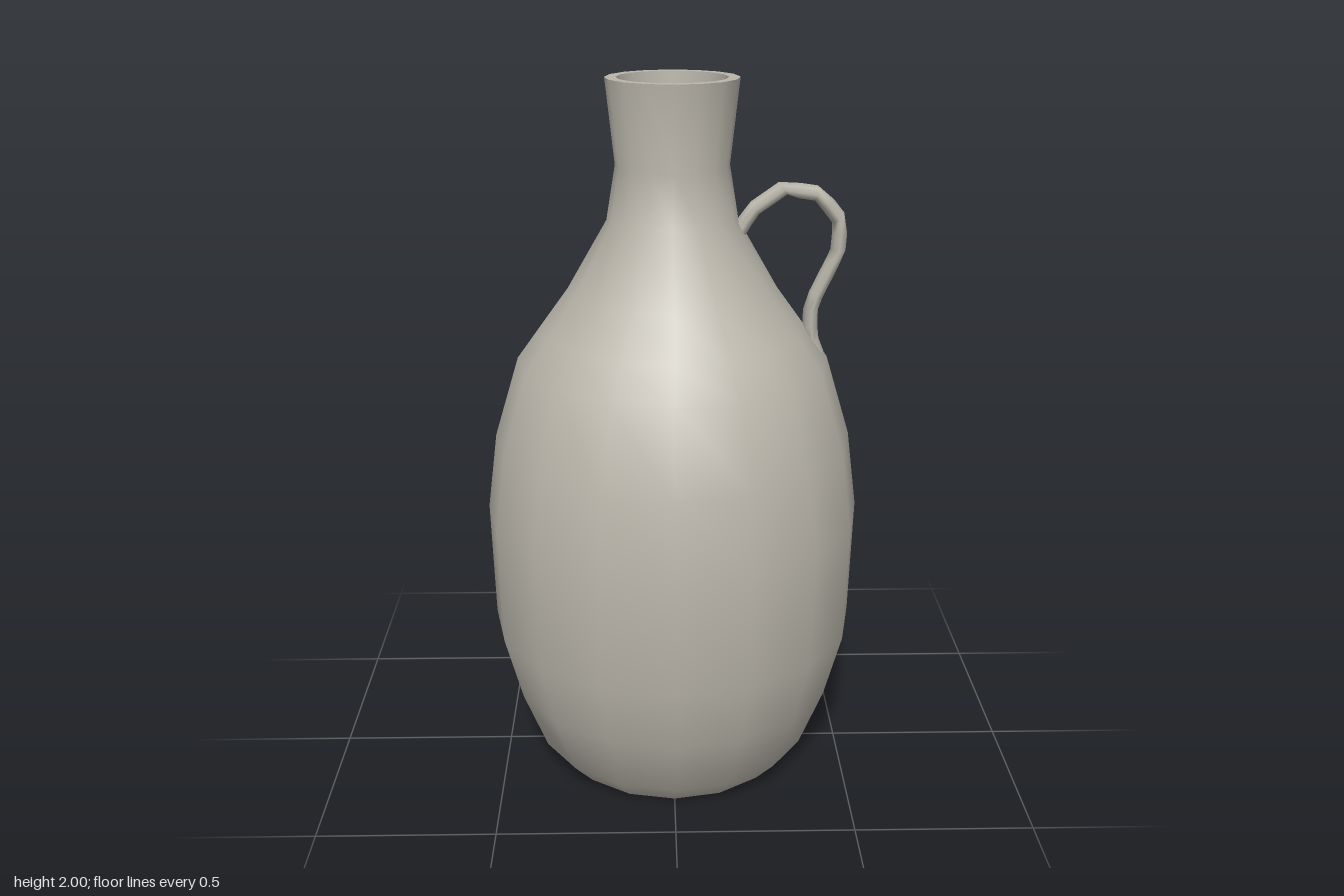
import * as THREE from 'three';
import { toCreasedNormals } from 'three/addons/utils/BufferGeometryUtils.js';

const clay = new THREE.MeshStandardMaterial({ color: 0xb9b5aa });
clay.name = 'greyClay';

function lathe(name, points, sides) {
  const profile = points.map(([r, y]) => new THREE.Vector2(r, y));
  const mesh = new THREE.Mesh(toCreasedNormals(new THREE.LatheGeometry(profile, sides), 0.75), clay);
  mesh.name = name;
  return mesh;
}

export function createModel() {
  const model = new THREE.Group();
  model.name = 'jug';

  // Body: recessed foot, outer wall, lip, then the inner wall down to the floor
  model.add(lathe('body', [
    [0, 0.035], [0.27, 0.035], [0.295, 0.0], [0.34, 0.0],
    [0.405, 0.07], [0.475, 0.25], [0.525, 0.44], [0.534, 0.78],
    [0.505, 1.0], [0.435, 1.23], [0.37, 1.32], [0.29, 1.43],
    [0.18, 1.62], [0.155, 1.77], [0.18, 2.0],
    [0.15, 2.0], [0.135, 1.77], [0.15, 1.62], [0.26, 1.42],
    [0.4, 1.22], [0.5, 0.78], [0.49, 0.44], [0.38, 0.09], [0, 0.07],
  ], 16));

  // Handle: a flattened strap looping from the neck to the shoulder
  const path = new THREE.CurvePath();
  const bends = [
    [0.175, 1.575], [0.215, 1.645], [0.3, 1.705], [0.4, 1.69], [0.46, 1.615],
    [0.455, 1.53], [0.385, 1.38], [0.385, 1.29], [0.425, 1.19],
  ].map(([x, y]) => new THREE.Vector3(x, y, 0));
  for (let i = 1; i < bends.length; i++) path.add(new THREE.LineCurve3(bends[i - 1], bends[i]));
  const strap = new THREE.TubeGeometry(path, 18, 0.021, 8, false);
  strap.scale(1, 1, 1.65);
  const handle = new THREE.Mesh(strap, clay);
  handle.name = 'handle';
  model.add(handle);

  // Rounded ends where the handle meets the body
  for (const [name, end] of [['handleTopJoint', bends[0]], ['handleLowerJoint', bends[bends.length - 1]]]) {
    const joint = new THREE.Mesh(new THREE.SphereGeometry(0.022, 8, 6), clay);
    joint.scale.z = 1.6;
    joint.position.copy(end);
    joint.name = name;
    model.add(joint);
  }
  return model;
}
